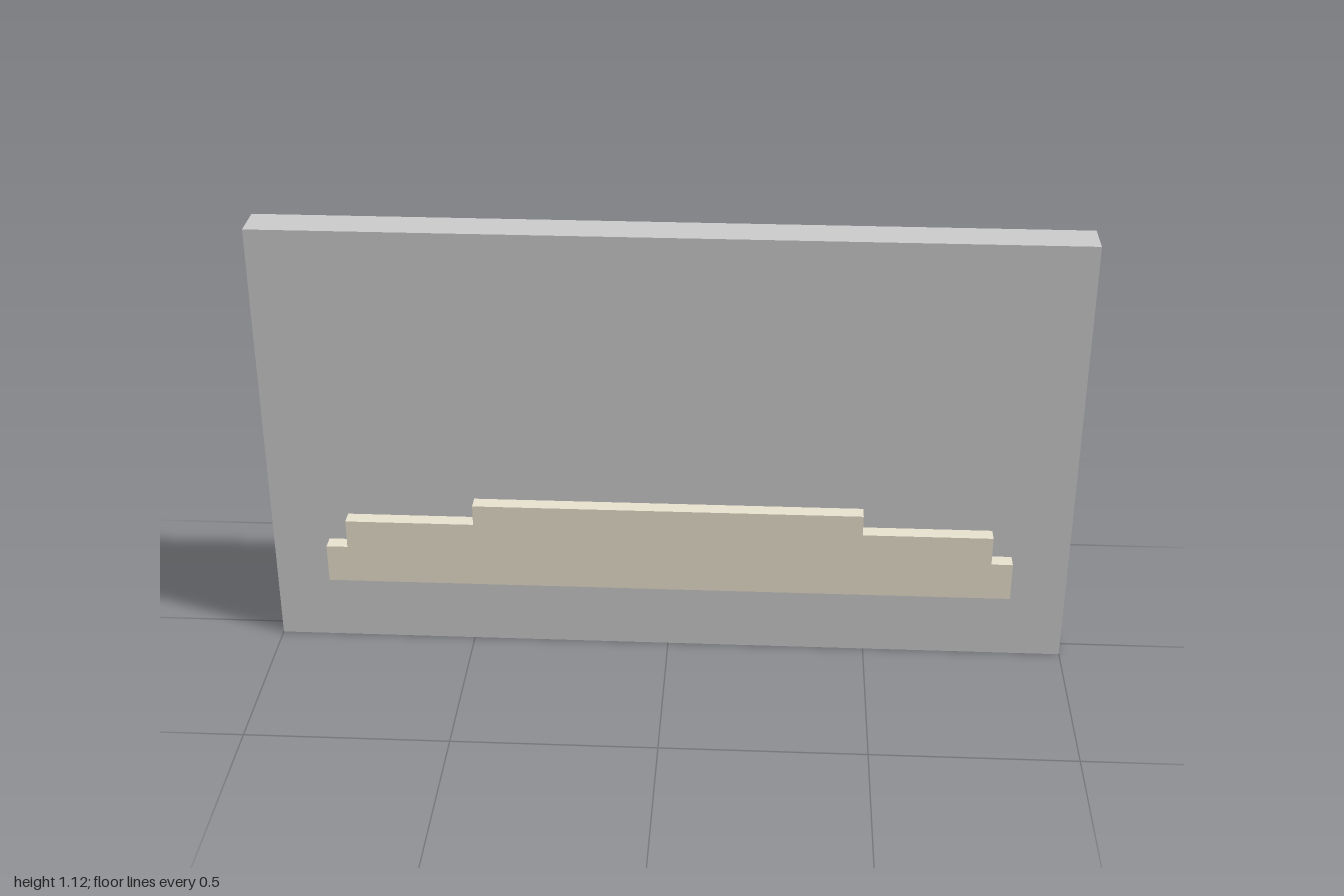
import * as THREE from 'three';

const WIDTH = 2, HEIGHT = 1.124, DEPTH = 0.098;
const RELIEF = 0.039;

// Stepped silhouette, mirrored about x = 0
function steppedShape() {
  const half = [[0.858, 0.187], [0.858, 0.286], [0.805, 0.286], [0.805, 0.36], [0.484, 0.36], [0.484, 0.413]];
  const mirrored = half.map(([x, y]) => [-x, y]).reverse();
  return new THREE.Shape([...half, ...mirrored].map(([x, y]) => new THREE.Vector2(x, y)));
}

export function createModel() {
  const model = new THREE.Group();
  model.name = 'panelWithSteppedReliefs';

  // Main slab
  const panel = new THREE.Mesh(
    new THREE.BoxGeometry(WIDTH, HEIGHT, DEPTH),
    new THREE.MeshStandardMaterial({ color: 0xcccccc })
  );
  panel.name = 'panel';
  panel.position.y = HEIGHT / 2;
  model.add(panel);

  // Raised stepped relief on each face
  const reliefGeometry = new THREE.ExtrudeGeometry(steppedShape(), { depth: RELIEF, bevelEnabled: false });
  const reliefMaterial = new THREE.MeshStandardMaterial({ color: 0xe9e2cf });
  for (const [name, turn] of [['frontRelief', 0], ['backRelief', Math.PI]]) {
    const relief = new THREE.Mesh(reliefGeometry, reliefMaterial);
    relief.name = name;
    relief.rotation.y = turn;
    relief.position.z = Math.cos(turn) * DEPTH / 2;
    model.add(relief);
  }

  return model;
}
